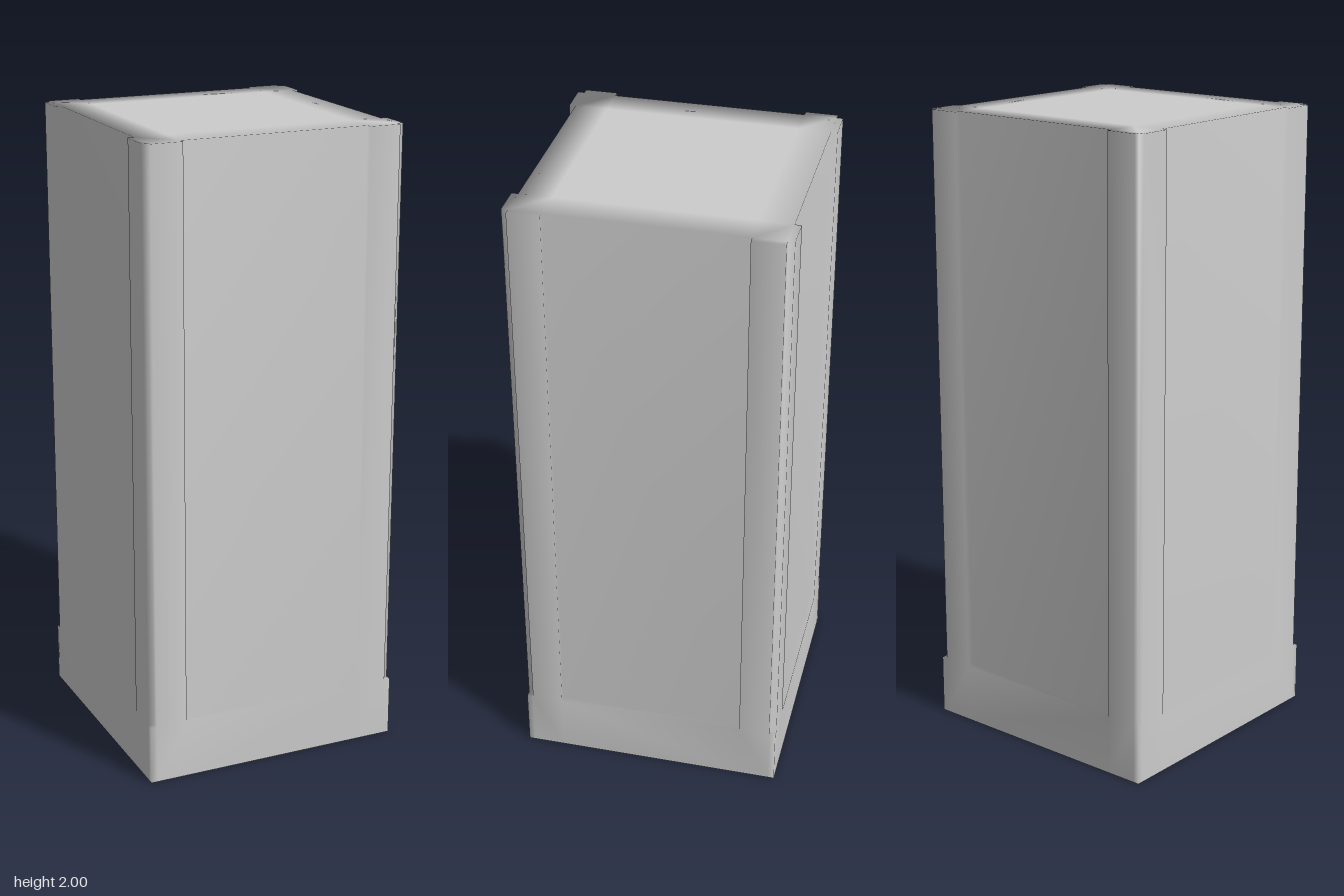
import * as THREE from 'three';

// Grid lines of the pillar: plan (x and z) and height
const plan = [-0.42, -0.4, -0.3, 0.3, 0.4, 0.42];
const lines = [plan, [0, 0.19, 2], plan];

// Which cells are solid: a full square plinth, and a shaft with recessed
// panels, raised corner strips and a small notch along each corner
function solid([i, j, k]) {
  if (i < 0 || i > 4 || k < 0 || k > 4 || j < 0 || j > 1) return false;
  if (j === 0) return true;
  const outer = n => n === 0 || n === 4;
  const strip = n => n === 1 || n === 3;
  return (!outer(i) || strip(k)) && (!outer(k) || strip(i));
}

// Skin of the solid cells with shared vertices, so the shading is smooth
function skinGeometry() {
  const positions = [], index = [], ids = new Map();
  const vertex = c => {
    const key = c.join();
    if (!ids.has(key)) {
      ids.set(key, ids.size);
      positions.push(...c.map((n, axis) => lines[axis][n]));
    }
    return ids.get(key);
  };
  const addFace = (cell, axis, sign) => {
    const u = (axis + 1) % 3, v = (axis + 2) % 3;
    const q = [[0, 0], [1, 0], [1, 1], [0, 1]].map(([du, dv]) => {
      const c = [...cell];
      if (sign > 0) c[axis] += 1;
      c[u] += du;
      c[v] += dv;
      return vertex(c);
    });
    if (sign < 0) q.reverse();
    index.push(q[0], q[1], q[2], q[0], q[2], q[3]);
  };

  for (let i = 0; i < 5; i++) for (let j = 0; j < 2; j++) for (let k = 0; k < 5; k++) {
    const cell = [i, j, k];
    if (!solid(cell)) continue;
    for (let axis = 0; axis < 3; axis++) for (const sign of [-1, 1]) {
      if (axis === 1 && sign < 0 && j === 0) continue; // underside is its own part
      const next = [...cell];
      next[axis] += sign;
      if (!solid(next)) addFace(cell, axis, sign);
    }
  }

  const geometry = new THREE.BufferGeometry();
  geometry.setAttribute('position', new THREE.Float32BufferAttribute(positions, 3));
  geometry.setIndex(index);
  geometry.computeVertexNormals();
  return geometry;
}

export function createModel() {
  const group = new THREE.Group();
  group.name = 'pillar';
  const material = new THREE.MeshStandardMaterial({ color: 0xcccccc });

  // Plinth and panelled shaft in one smooth skin
  const body = new THREE.Mesh(skinGeometry(), material);
  body.name = 'shaftAndPlinth';
  group.add(body);

  // Flat underside with a sharp edge
  const underside = new THREE.Mesh(new THREE.PlaneGeometry(0.84, 0.84).rotateX(Math.PI / 2), material);
  underside.name = 'underside';
  group.add(underside);
  return group;
}
